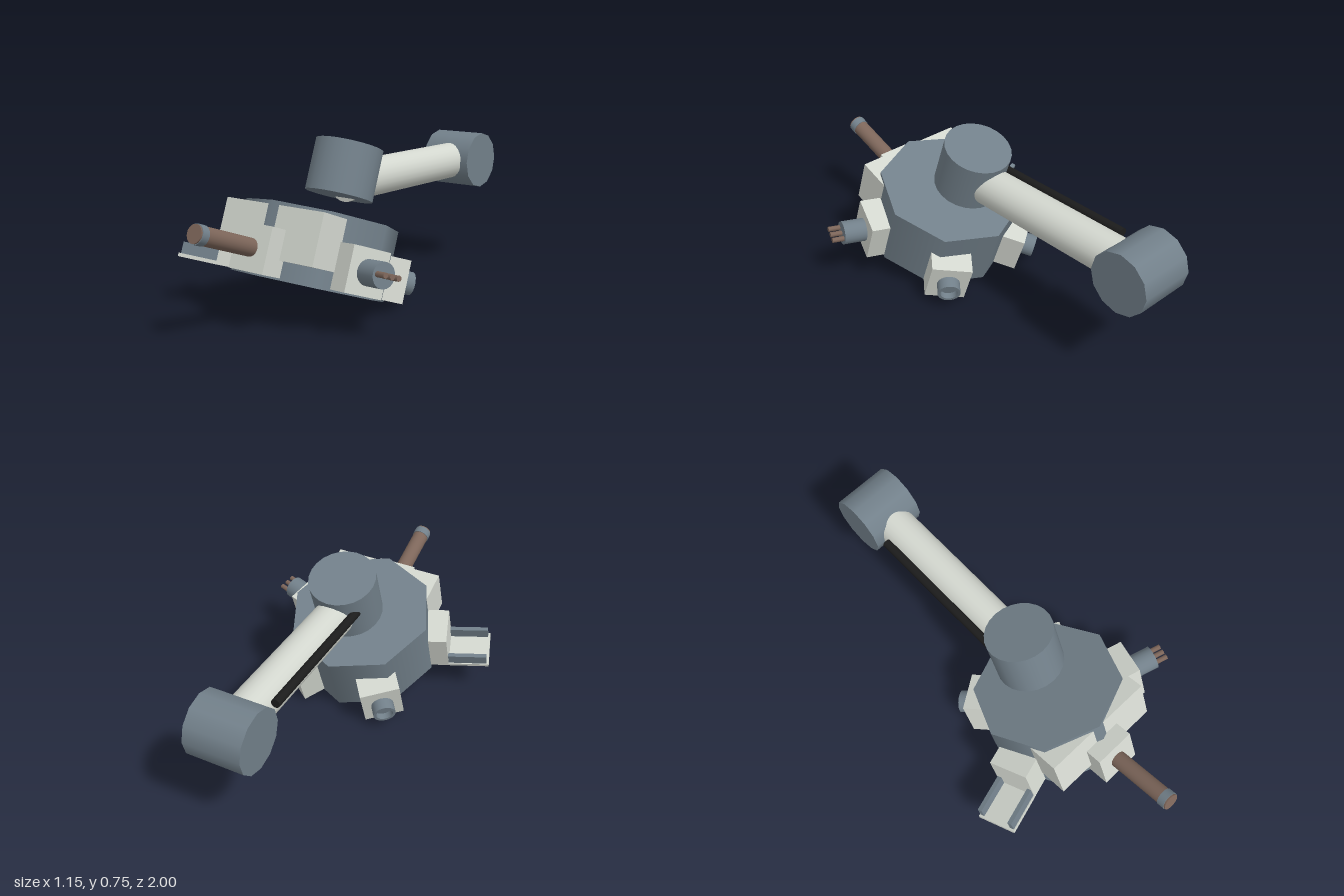
import * as THREE from 'three';

const slate = new THREE.MeshStandardMaterial({ name: 'slate', color: 0x72808a });
const pale = new THREE.MeshStandardMaterial({ name: 'pale grey', color: 0xd3d7cf });
const brown = new THREE.MeshStandardMaterial({ name: 'brown', color: 0x7d665a });
const black = new THREE.MeshStandardMaterial({ name: 'black', color: 0x1c1c1c });

function add(parent, name, geometry, material, x = 0, y = 0, z = 0) {
  const mesh = new THREE.Mesh(geometry, material);
  mesh.name = name;
  mesh.position.set(x, y, z);
  parent.add(mesh);
  return mesh;
}

const box = (w, h, d) => new THREE.BoxGeometry(w, h, d);

// Cylinder lying along z, from z0 to z1
function rod(parent, name, material, r, z0, z1, x = 0, y = 0, sides = 24) {
  const g = new THREE.CylinderGeometry(r, r, z1 - z0, sides).rotateX(Math.PI / 2);
  return add(parent, name, g, material, x, y, (z0 + z1) / 2);
}

// Short open tube with a sunken floor, facing +z
function socket(parent) {
  const profile = [[0.052, -0.04], [0.052, 0.05], [0.039, 0.05], [0.039, 0.02], [0, 0.02]];
  // Separate bands keep the rim edges sharp
  for (let i = 0; i < profile.length - 1; i++) {
    const pts = [profile[i], profile[i + 1]].map(([r, y]) => new THREE.Vector2(r, y));
    add(parent, 'socketTube', new THREE.LatheGeometry(pts, 20).rotateX(Math.PI / 2), slate, 0, 0, 0.41);
  }
}

export function createModel() {
  const model = new THREE.Group();
  model.name = 'toolArm';
  const tilt = -THREE.MathUtils.degToRad(20);
  const cx = 0.035;

  // Upper arm with elbow, cable and wrist
  const arm = new THREE.Group();
  arm.name = 'arm';
  arm.position.set(cx, 0.553, 0);
  model.add(arm);
  rod(arm, 'armTube', pale, 0.088, -0.8, 0.1);
  rod(arm, 'cable', black, 0.02, -0.69, 0.05, -0.1, 0.045, 12);
  const elbow = add(arm, 'elbow', new THREE.CylinderGeometry(0.138, 0.138, 0.255, 12), slate, -0.002, 0, -0.862);
  elbow.rotation.z = Math.PI / 2;
  const wrist = add(model, 'wrist', new THREE.CylinderGeometry(0.152, 0.152, 0.231, 24), slate, cx, 0.607, 0.1);
  wrist.rotation.x = tilt;

  // Tilted tool turret
  const turret = new THREE.Group();
  turret.name = 'turret';
  turret.position.set(cx, 0.282, 0.298);
  turret.rotation.x = tilt;
  model.add(turret);
  add(turret, 'turretDrum', new THREE.CylinderGeometry(0.337, 0.337, 0.312, 8), slate);
  add(turret, 'frontHousing', box(0.53, 0.218, 0.16), pale, 0, 0.031, 0.245);

  // Five tool mounts around the drum, each facing its own +z
  const mounts = [0, 72, 144, 216, 288].map((deg) => {
    const mount = new THREE.Group();
    mount.name = 'toolMount';
    mount.rotation.y = THREE.MathUtils.degToRad(deg);
    mount.position.y = -0.051;
    turret.add(mount);
    add(mount, 'mountBlock', box(0.185, 0.193, 0.17), pale, 0, 0, 0.32);
    return mount;
  });
  const [front, left, backLeft, backRight, right] = mounts;

  // Front barrel with a collar near the tip
  rod(front, 'barrel', brown, 0.038, 0.38, 0.717);
  rod(front, 'barrelCollar', slate, 0.041, 0.675, 0.71);

  // Gripper with three fingers
  rod(left, 'gripperBase', slate, 0.054, 0.38, 0.51);
  for (const x of [-0.033, 0, 0.033]) rod(left, 'finger', brown, 0.012, 0.5, 0.565, x, 0, 8);

  // Sockets at the back
  for (const mount of [backLeft, backRight]) socket(mount);

  // Tray with two side rails
  add(right, 'trayPlate', box(0.185, 0.016, 0.2), pale, 0, -0.09, 0.495);
  for (const s of [-1, 1]) add(right, 'trayRail', box(0.02, 0.052, 0.18), slate, s * 0.078, -0.056, 0.495);

  return model;
}
